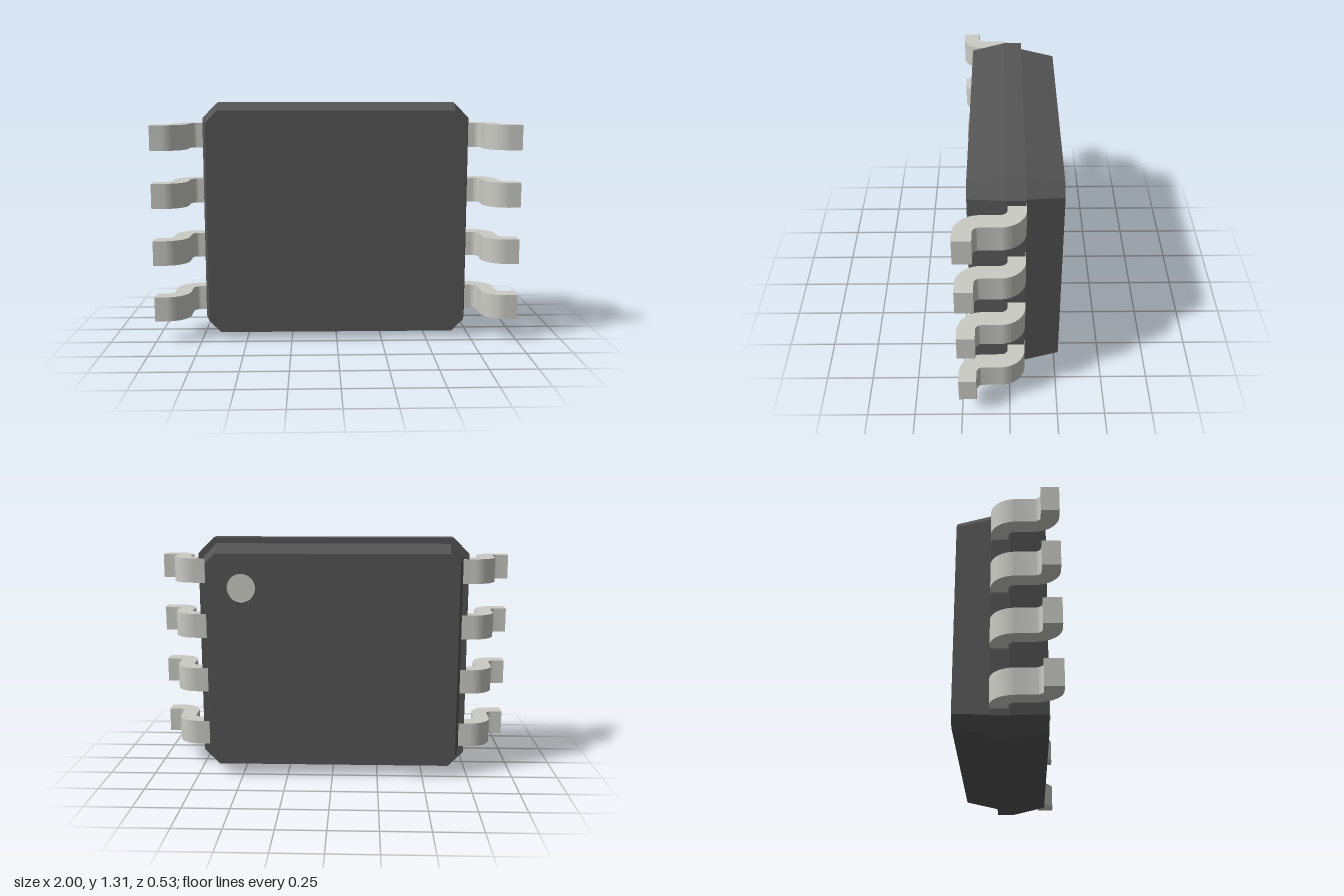
import * as THREE from 'three';
import { toCreasedNormals } from 'three/addons/utils/BufferGeometryUtils.js';

const MID_Y = 0.655;
const DOT = { x: 0.49, y: 0.4, r: 0.077, depth: 0.02, z: -0.265, sides: 32 };

// rectangle with chamfered corners, counter-clockwise
function octagon(hx, hy, c) {
  return [
    [hx, -hy + c], [hx, hy - c], [hx - c, hy], [-hx + c, hy],
    [-hx, hy - c], [-hx, -hy + c], [-hx + c, -hy], [hx - c, -hy],
  ].map(([x, y]) => new THREE.Vector2(x, y));
}

// closed solid through sections [z, halfX, halfY, chamfer] in rising z; hole cuts the back cap
function loft(sections, hole) {
  const pos = [];
  const put = (p, z) => pos.push(p.x, p.y, z);
  const rings = sections.map(([z, hx, hy, c]) => ({ z, pts: octagon(hx, hy, c) }));
  for (let i = 0; i < rings.length - 1; i++) {
    const a = rings[i], b = rings[i + 1];
    for (let j = 0; j < 8; j++) {
      const k = (j + 1) % 8;
      put(a.pts[j], a.z); put(a.pts[k], a.z); put(b.pts[k], b.z);
      put(a.pts[j], a.z); put(b.pts[k], b.z); put(b.pts[j], b.z);
    }
  }
  const cap = (ring, holes, flip) => {
    const all = ring.pts.concat(...holes);
    for (const f of THREE.ShapeUtils.triangulateShape(ring.pts, holes)) {
      for (const i of flip ? [f[0], f[2], f[1]] : f) put(all[i], ring.z);
    }
  };
  cap(rings[0], hole ? [hole] : [], true);
  cap(rings[rings.length - 1], [], false);
  const geo = new THREE.BufferGeometry();
  geo.setAttribute('position', new THREE.Float32BufferAttribute(pos, 3));
  geo.computeVertexNormals();
  return geo;
}

// gull-wing lead: side profile extruded along y, centred on y = 0
function leadGeometry(height) {
  const s = new THREE.Shape();
  s.moveTo(0.68, -0.08);
  s.lineTo(0.78, -0.08);
  s.absarc(0.78, 0.045, 0.125, -Math.PI / 2, 0, false);
  s.lineTo(0.905, 0.14);
  s.absarc(0.937, 0.14, 0.032, Math.PI, Math.PI / 2, true);
  s.lineTo(1, 0.172);
  s.lineTo(1, 0.264);
  s.lineTo(0.94, 0.264);
  s.absarc(0.94, 0.139, 0.125, Math.PI / 2, Math.PI, false);
  s.lineTo(0.815, 0.045);
  s.absarc(0.78, 0.045, 0.035, 0, -Math.PI / 2, true);
  s.lineTo(0.68, 0.01);
  const geo = new THREE.ExtrudeGeometry(s, { depth: height, bevelEnabled: false, curveSegments: 10 });
  geo.translate(0, 0, -height / 2);
  geo.rotateX(Math.PI / 2);
  return toCreasedNormals(geo, 0.5);
}

export function createModel() {
  const group = new THREE.Group();
  const dark = new THREE.MeshStandardMaterial({ color: 0x555555 });
  const metal = new THREE.MeshStandardMaterial({ color: 0xcbcbc5 });
  const wallMat = new THREE.MeshStandardMaterial({ color: 0xcbcbc5, side: THREE.DoubleSide });
  const add = (name, geo, mat, x = 0, y = MID_Y, z = 0) => {
    const mesh = new THREE.Mesh(geo, mat);
    mesh.name = name;
    mesh.position.set(x, y, z);
    group.add(mesh);
    return mesh;
  };

  // two moulded halves of the package
  add('frontHousing', loft([
    [-0.078, 0.747, 0.655, 0.086],
    [0.018, 0.747, 0.655, 0.086],
    [0.203, 0.71, 0.615, 0.065],
  ]), dark);
  const hole = [];
  for (let i = 0; i < DOT.sides; i++) {
    const a = (-i / DOT.sides) * Math.PI * 2;
    hole.push(new THREE.Vector2(DOT.x + DOT.r * Math.cos(a), DOT.y + DOT.r * Math.sin(a)));
  }
  add('backHousing', loft([
    [DOT.z, 0.68, 0.585, 0.052],
    [-0.078, 0.716, 0.624, 0.072],
  ], hole), dark);

  // recessed orientation mark on the back
  const wall = new THREE.CylinderGeometry(DOT.r, DOT.r, DOT.depth, DOT.sides, 1, true);
  wall.rotateX(Math.PI / 2);
  add('markWall', wall, wallMat, DOT.x, MID_Y + DOT.y, DOT.z + DOT.depth / 2);
  const floor = new THREE.CircleGeometry(DOT.r, DOT.sides);
  floor.rotateY(Math.PI);
  add('markFloor', floor, metal, DOT.x, MID_Y + DOT.y, DOT.z + DOT.depth);

  // four leads on each side
  const lead = leadGeometry(0.136);
  for (let i = 0; i < 4; i++) {
    const y = MID_Y + 0.003 + (i - 1.5) * 0.3125;
    add('leftLead' + (i + 1), lead, metal, 0, y);
    add('rightLead' + (i + 1), lead, metal, 0, y).rotation.z = Math.PI;
  }
  return group;
}
